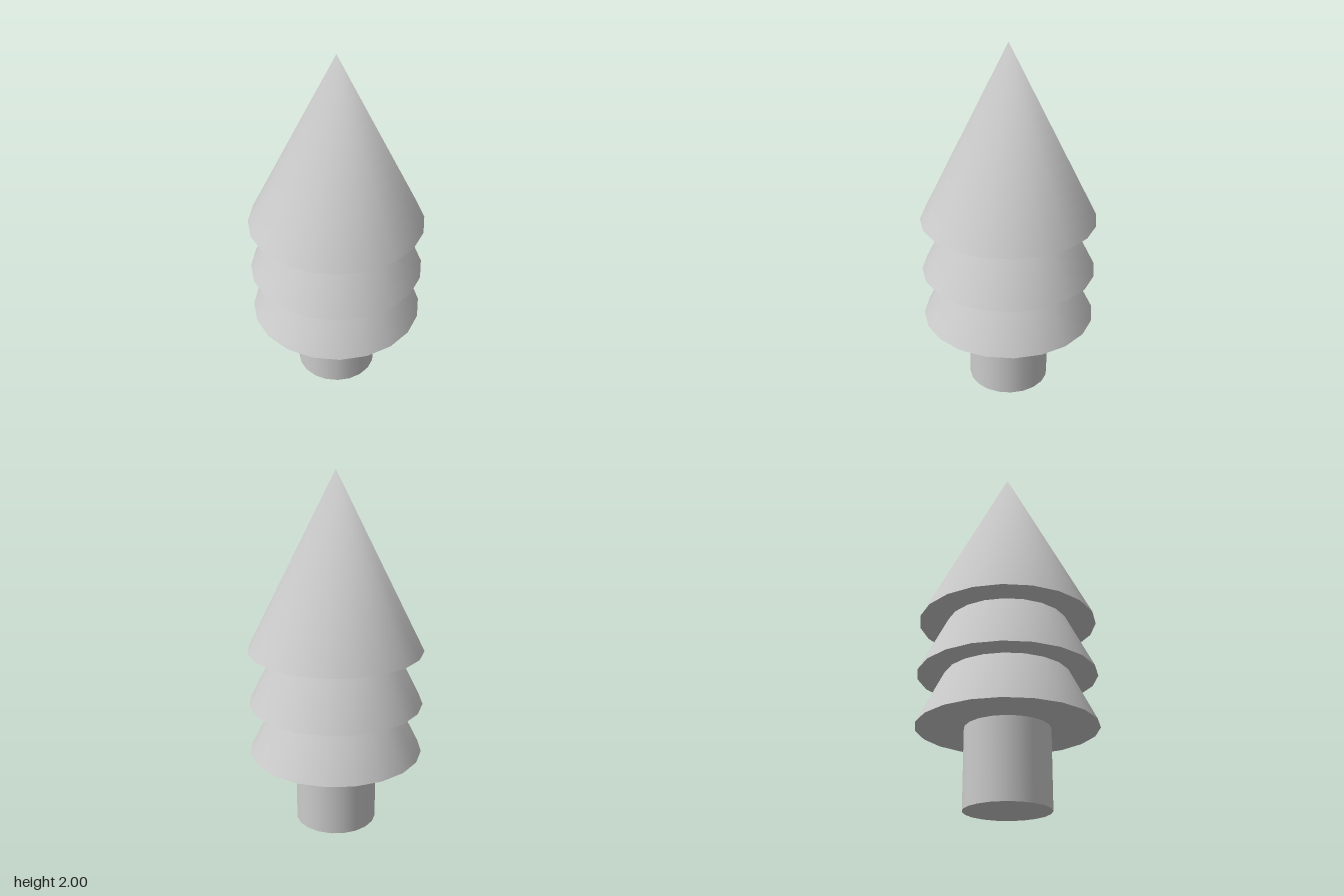
import * as THREE from 'three';

const SIDES = 20;
const TIER_RADIUS = 0.487;
const TIER_HEIGHT = 0.97;

// Cone with a shared upward normal at the tip, so shading blends over the apex
function tierGeometry() {
  const geometry = new THREE.ConeGeometry(TIER_RADIUS, TIER_HEIGHT, SIDES);
  const { position, normal } = geometry.attributes;
  for (let i = 0; i < position.count; i++) {
    if (position.getY(i) > TIER_HEIGHT / 2 - 1e-4) normal.setXYZ(i, 0, 1, 0);
  }
  return geometry.translate(0, TIER_HEIGHT / 2, 0);
}

export function createModel() {
  const tree = new THREE.Group();
  tree.name = 'tree';
  const material = new THREE.MeshStandardMaterial({ color: 0xcccccc });

  // Trunk
  const trunkHeight = 0.43;
  const trunk = new THREE.Mesh(
    new THREE.CylinderGeometry(0.23, 0.23, trunkHeight, SIDES),
    material
  );
  trunk.name = 'trunk';
  trunk.position.y = trunkHeight / 2;
  tree.add(trunk);

  // Three equal foliage tiers, nested one above the other
  const geometry = tierGeometry();
  const tiers = [['lowerFoliage', 0.43], ['middleFoliage', 0.72], ['upperFoliage', 1.03]];
  for (const [name, y] of tiers) {
    const tier = new THREE.Mesh(geometry, material);
    tier.name = name;
    tier.position.y = y;
    tree.add(tier);
  }

  return tree;
}
